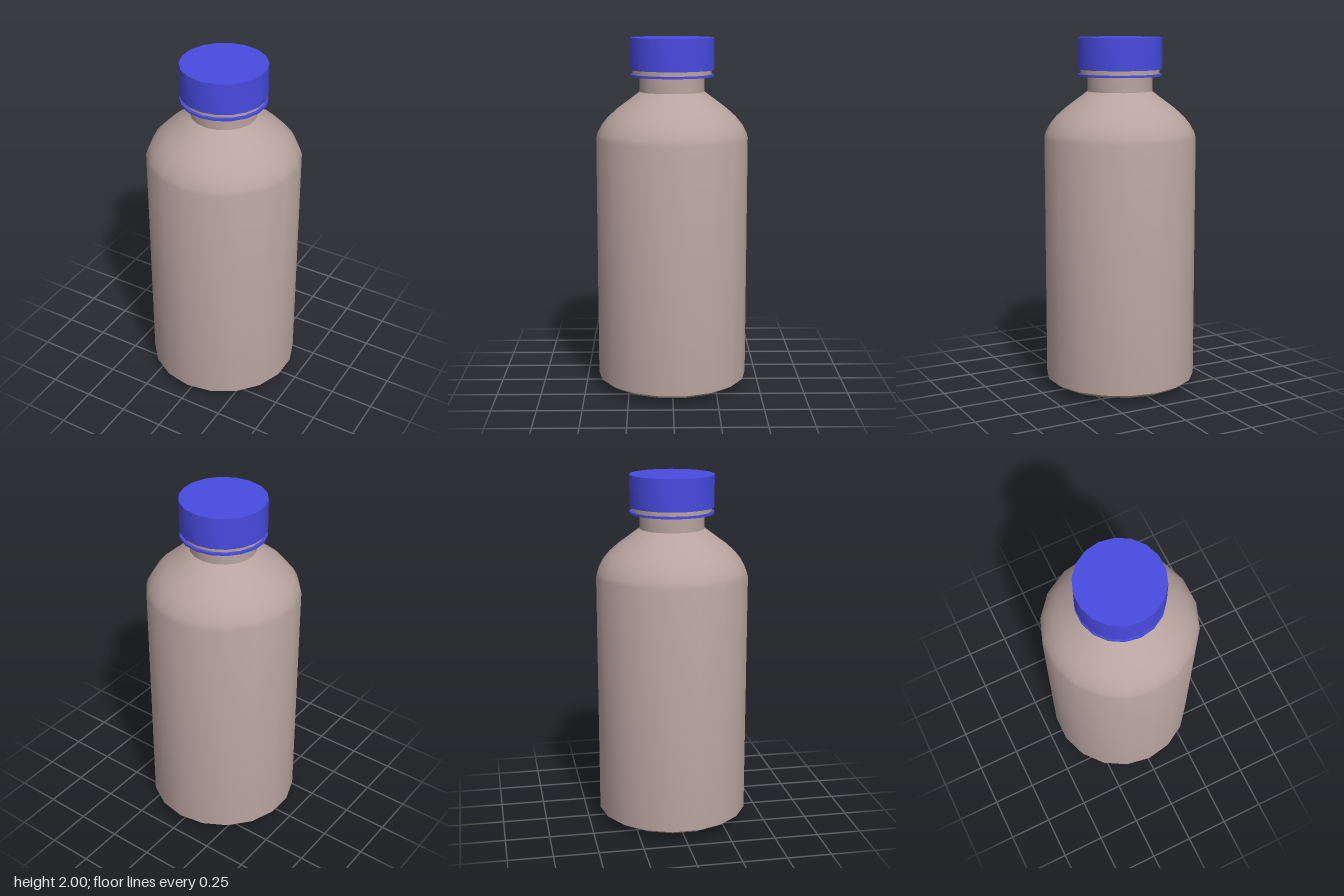
import * as THREE from 'three';
import { toCreasedNormals } from 'three/addons/utils/BufferGeometryUtils.js';

const SIDES = 18;

// Revolve a bottom-to-top [radius, height] profile, smooth except at sharp edges
function turned(name, material, profile) {
  const points = profile.map(([r, y]) => new THREE.Vector2(r, y));
  const geometry = toCreasedNormals(new THREE.LatheGeometry(points, SIDES), 0.6);
  const mesh = new THREE.Mesh(geometry, material);
  mesh.name = name;
  return mesh;
}

export function createModel() {
  const bottlePlastic = new THREE.MeshStandardMaterial({ color: 0xb8a49f });
  bottlePlastic.name = 'bottlePlastic';
  const capPlastic = new THREE.MeshStandardMaterial({ color: 0x484be0 });
  capPlastic.name = 'capPlastic';

  const bottle = new THREE.Group();
  bottle.name = 'bottle';
  bottle.add(
    // Rounded base, straight wall, curved shoulder and neck
    turned('body', bottlePlastic, [
      [0, 0], [0.24, 0.002], [0.33, 0.01], [0.39, 0.025], [0.43, 0.05],
      [0.43, 1.44], [0.421, 1.47], [0.397, 1.515], [0.36, 1.56], [0.31, 1.605],
      [0.183, 1.7], [0.183, 1.79],
    ]),
    // Lip showing in the gap under the cap
    turned('neckLip', bottlePlastic, [
      [0.183, 1.79], [0.222, 1.79], [0.222, 1.83],
    ]),
    // Thin seal ring left below the cap
    turned('sealRing', capPlastic, [
      [0.18, 1.785], [0.238, 1.785], [0.238, 1.797], [0.18, 1.797],
    ]),
    // Screw cap
    turned('cap', capPlastic, [
      [0, 1.822], [0.238, 1.822], [0.238, 2], [0, 2],
    ]),
  );
  return bottle;
}
